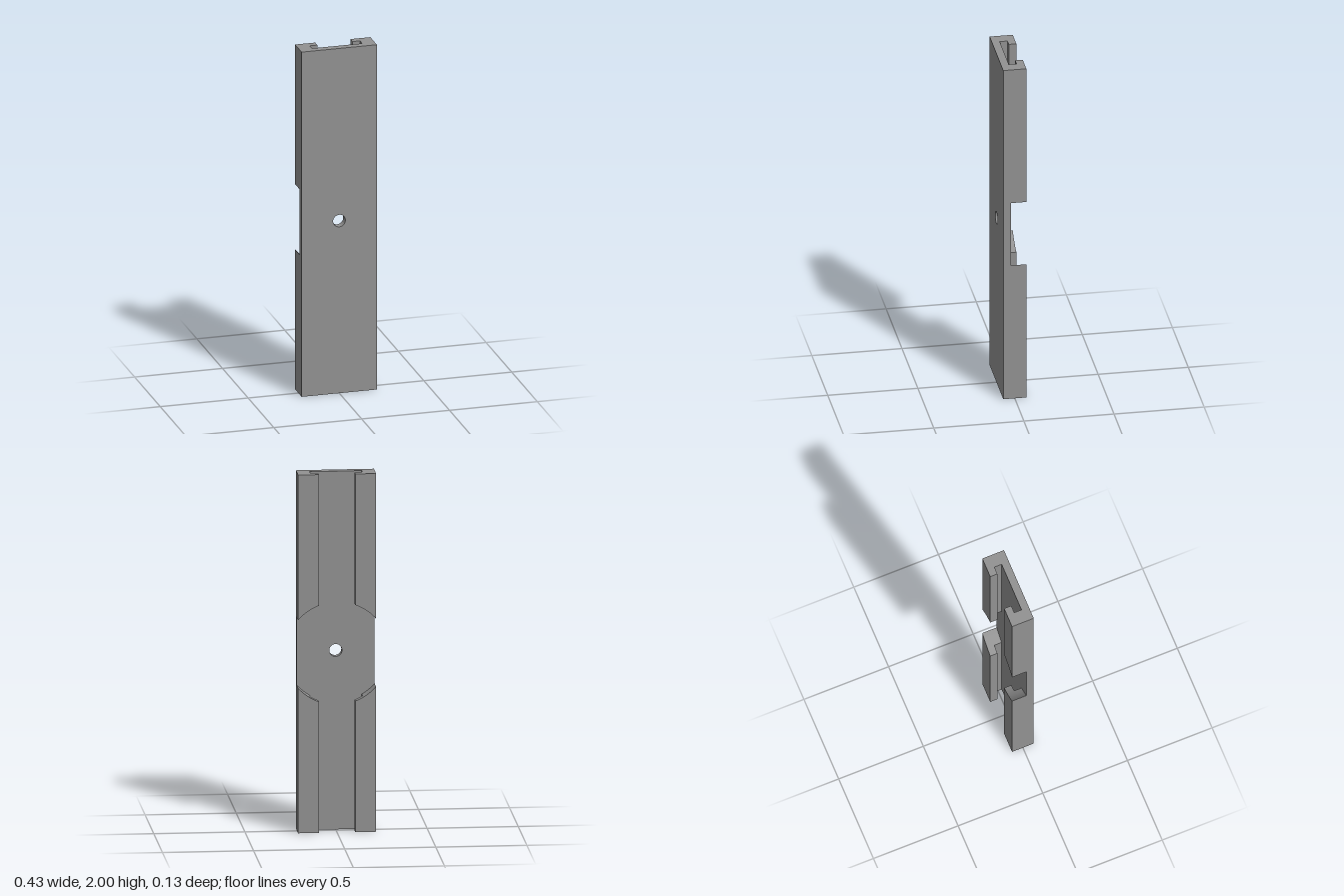
import * as THREE from 'three';
import { toCreasedNormals } from 'three/addons/utils/BufferGeometryUtils.js';

const HALF_W = 0.214, HALF_D = 0.064, MID = 1;
const WALL_IN = 0.143, LIP_IN = 0.1;      // inner faces of walls and lips
const FLOOR = 0.021, LIP = -0.022;        // depth of slot floor and underside of lips
const CUT_R = 0.286, HOLE_R = 0.035;      // round pocket and through hole

export function createModel() {
  const group = new THREE.Group();
  group.name = 'slottedRail';
  const grey = new THREE.MeshStandardMaterial({ color: 0x929292 });
  grey.name = 'grey';

  // Extrude an x-y outline between two depths
  function addSlab(name, shape, z0, z1) {
    const geo = new THREE.ExtrudeGeometry(shape, { depth: z1 - z0, bevelEnabled: false, curveSegments: 32 });
    geo.translate(0, 0, z0);
    const mesh = new THREE.Mesh(toCreasedNormals(geo, 0.5), grey);
    mesh.name = name;
    group.add(mesh);
  }

  // Front plate with the centre hole
  const plate = new THREE.Shape([
    new THREE.Vector2(-HALF_W, 0), new THREE.Vector2(HALF_W, 0),
    new THREE.Vector2(HALF_W, 2), new THREE.Vector2(-HALF_W, 2),
  ]);
  plate.holes.push(new THREE.Path().absarc(0, MID, HOLE_R, 0, Math.PI * 2, true));
  addSlab('frontPlate', plate, FLOOR, HALF_D);

  // Strip from an inner x to the outer side, ended by the round pocket
  function strip(sx, sy, inner) {
    const pts = [new THREE.Vector2(sx * inner, MID + sy), new THREE.Vector2(sx * HALF_W, MID + sy)];
    const a0 = Math.acos(HALF_W / CUT_R), a1 = Math.acos(inner / CUT_R), n = 12;
    for (let i = 0; i <= n; i++) {
      const a = a0 + (a1 - a0) * i / n;
      pts.push(new THREE.Vector2(sx * CUT_R * Math.cos(a), MID + sy * CUT_R * Math.sin(a)));
    }
    return new THREE.Shape(pts);
  }

  // Side walls and inward lips, above and below the pocket
  for (const sx of [-1, 1]) {
    for (const sy of [-1, 1]) {
      const tag = (sy > 0 ? 'upper' : 'lower') + (sx > 0 ? 'Left' : 'Right');
      addSlab(tag + 'Wall', strip(sx, sy, WALL_IN), LIP, FLOOR);
      addSlab(tag + 'Lip', strip(sx, sy, LIP_IN), -HALF_D, LIP);
    }
  }
  return group;
}
